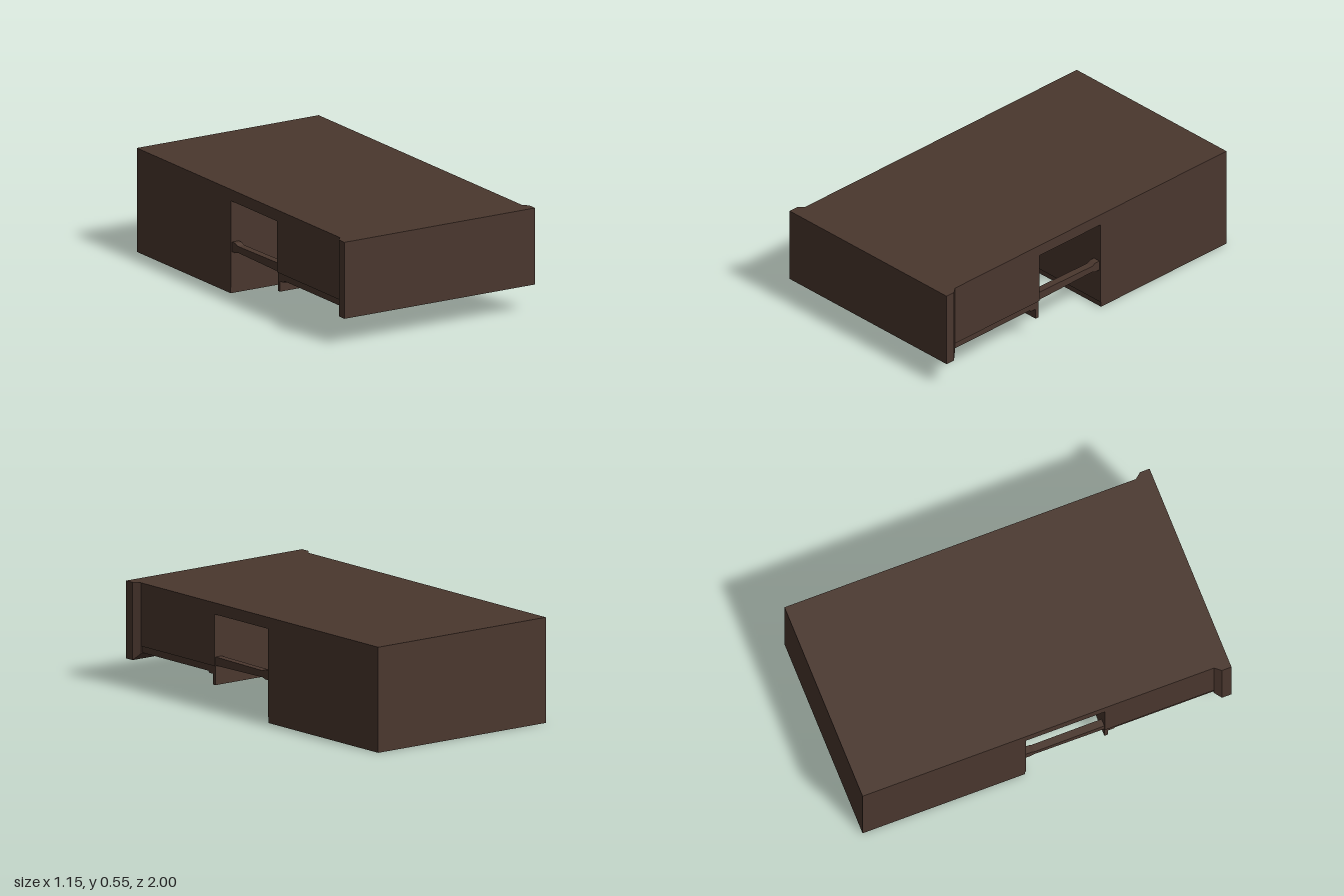
import * as THREE from 'three';

export function createModel() {
  const model = new THREE.Group();
  model.name = 'desk';
  const wood = new THREE.MeshStandardMaterial({ color: 0x4a372e });
  wood.name = 'darkWood';

  function add(name, geometry) {
    const mesh = new THREE.Mesh(geometry, wood);
    mesh.name = name;
    model.add(mesh);
    return mesh;
  }

  // Box given by its limits on each axis
  function block(name, x0, x1, y0, y1, z0, z1) {
    const mesh = add(name, new THREE.BoxGeometry(x1 - x0, y1 - y0, z1 - z0));
    mesh.position.set((x0 + x1) / 2, (y0 + y1) / 2, (z0 + z1) / 2);
    return mesh;
  }

  // Side profile of (z, y) points, extruded across the width and centred on x
  function sideExtrude(name, points, width, x = 0) {
    const shape = new THREE.Shape(points.map(([z, y]) => new THREE.Vector2(z, y)));
    const geo = new THREE.ExtrudeGeometry(shape, { depth: width, bevelEnabled: false });
    geo.translate(0, 0, -width / 2).rotateY(-Math.PI / 2).translate(x, 0, 0);
    return add(name, geo);
  }

  const rectangle = (Type, x0, x1, z0, z1) => new Type([
    new THREE.Vector2(x0, z0), new THREE.Vector2(x1, z0),
    new THREE.Vector2(x1, z1), new THREE.Vector2(x0, z1),
  ]);

  // Horizontal panel with rectangular openings that read as recesses from below
  function recessedPanel(name, outline, holes, y0, y1) {
    const shape = rectangle(THREE.Shape, ...outline);
    holes.forEach((h) => shape.holes.push(rectangle(THREE.Path, ...h)));
    const geo = new THREE.ExtrudeGeometry(shape, { depth: y1 - y0, bevelEnabled: false });
    add(name, geo.rotateX(Math.PI / 2).translate(0, y1, 0));
  }

  const W = 0.548;

  // Main body: tall rear cabinet, thin bridge and shallow front drawer box
  sideExtrude('body', [
    [-1, 0.03], [-0.11, 0.03], [-0.11, 0.49], [0.32, 0.49],
    [0.32, 0.22], [0.92, 0.22], [0.92, 0.55], [-1, 0.55],
  ], W * 2);

  // Rear cabinet underside with two square recesses
  recessedPanel('rearBase', [-W, W, -1, -0.115],
    [[0.055, 0.43, -0.79, -0.37], [-0.43, -0.055, -0.79, -0.37]], 0, 0.03);

  // Front underside with three shallow recesses
  recessedPanel('frontBase', [-0.5, 0.5, 0.34, 0.92],
    [-0.33, 0, 0.33].map((x) => [x - 0.14, x + 0.14, 0.44, 0.88]), 0.205, 0.22);

  // Cross plate hanging below the drawer box
  block('crossPlate', -0.542, 0.542, 0.12, 0.23, 0.32, 0.34);

  // Front cap, tapering back into the body at the sides and underside
  const cap = new THREE.BoxGeometry(1.15, 0.405, 0.085, 1, 1, 2);
  const p = cap.attributes.position;
  for (let i = 0; i < p.count; i++) {
    const z = p.getZ(i);
    const back = z < -0.04;
    p.setZ(i, back ? 0.915 : z < 0.04 ? 0.948 : 1);
    if (back) p.setX(i, Math.sign(p.getX(i)) * W);
    p.setY(i, p.getY(i) > 0 ? 0.55 : back ? 0.18 : 0.145);
  }
  add('frontCap', cap.toNonIndexed()).geometry.computeVertexNormals();

  for (const side of [1, -1]) {
    // Runner under the drawer box, stepping up near the cross plate
    sideExtrude('runner', [
      [0.34, 0.175], [0.372, 0.175], [0.38, 0.185], [0.915, 0.185], [0.915, 0.22], [0.34, 0.22],
    ], 0.035, side * 0.523);

    // Rail across the opening, thickened where it meets the rear cabinet
    sideExtrude('sideRail', [
      [-0.11, 0.22], [-0.08, 0.22], [-0.06, 0.228], [0.32, 0.222],
      [0.32, 0.267], [-0.06, 0.262], [-0.08, 0.272], [-0.11, 0.272],
    ], 0.04, side * 0.522);
  }
  return model;
}
